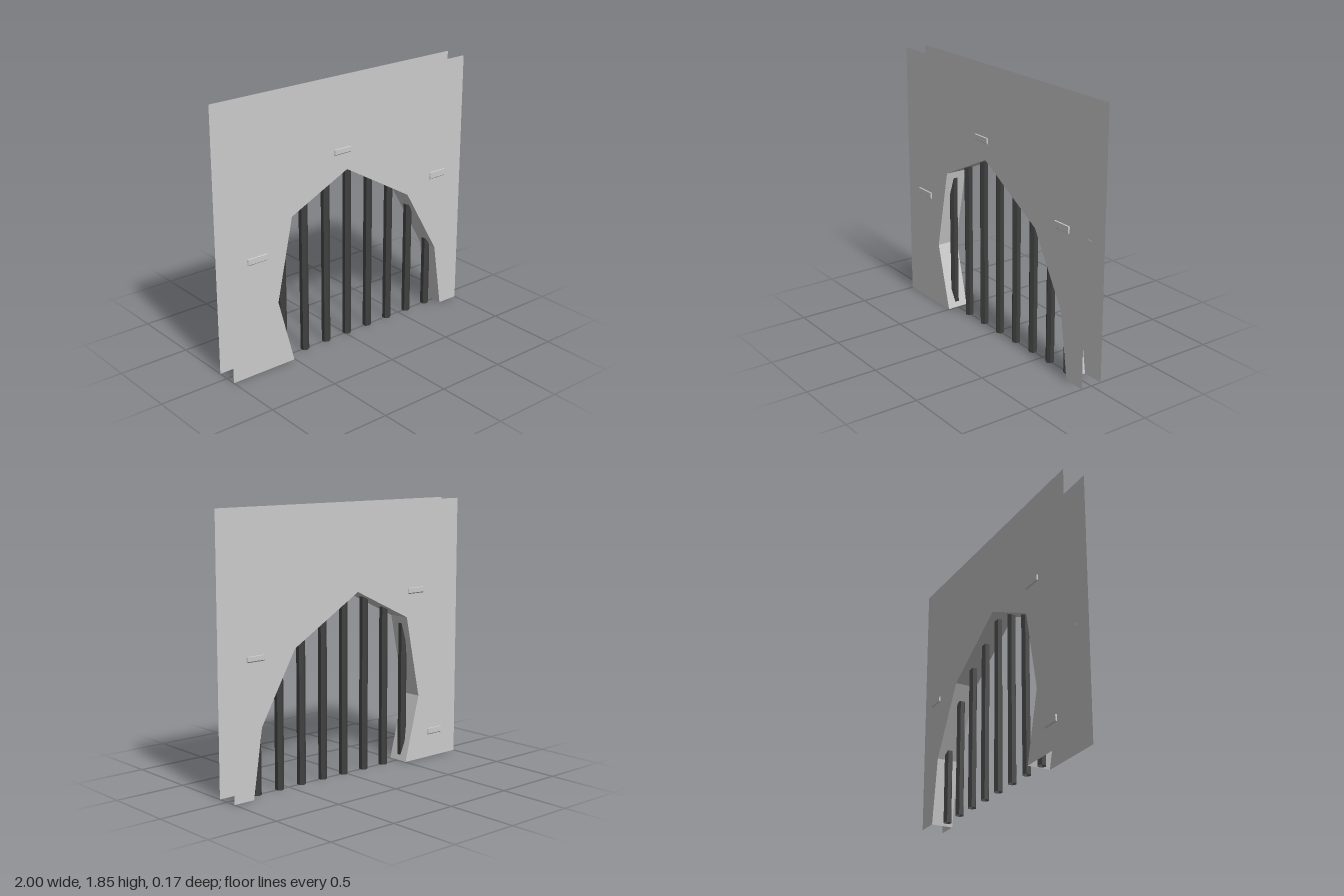
import * as THREE from 'three';

const HALF = 0.078; // half the wall thickness
// Rough arch opening, from its right foot over the crown to its left foot
const ARCH = [[-0.505, 0], [-0.627, 0.465], [-0.505, 1.04], [-0.045, 1.258],
  [0.5, 0.94], [0.775, 0.465], [0.845, 0]];

export function createModel() {
  const model = new THREE.Group();
  const stone = new THREE.MeshStandardMaterial({ color: 0xcccccc, flatShading: true, side: THREE.DoubleSide });
  const iron = new THREE.MeshStandardMaterial({ color: 0x404040, flatShading: true, side: THREE.DoubleSide });

  const add = (name, geometry, material, x = 0, y = 0, z = 0) => {
    const mesh = new THREE.Mesh(geometry, material);
    mesh.name = name;
    mesh.position.set(x, y, z);
    model.add(mesh);
    return mesh;
  };

  // Front and back wall sheets with the arch cut out of the lower edge
  const outline = [[-1, 0], ...ARCH, [1, 0], [1, 1.85], [-1, 1.85]];
  const sheet = new THREE.ShapeGeometry(new THREE.Shape(outline.map(([x, y]) => new THREE.Vector2(x, y))));
  add('frontWall', sheet, stone, 0, 0, HALF);
  add('backWall', sheet.clone().rotateY(Math.PI).scale(-1, 1, 1), stone, 0, 0, -HALF);
  const back = model.getObjectByName('backWall').geometry;
  // Restore the winding after mirroring so the back sheet faces -z
  const index = back.index.array;
  for (let i = 0; i < index.length; i += 3) [index[i], index[i + 1]] = [index[i + 1], index[i]];
  back.computeVertexNormals();

  // Inner faces of the arch joining the two sheets
  const reveal = [];
  for (let i = 0; i < ARCH.length - 1; i++) {
    const [ax, ay] = ARCH[i], [bx, by] = ARCH[i + 1];
    reveal.push(ax, ay, HALF, ax, ay, -HALF, bx, by, -HALF);
    reveal.push(ax, ay, HALF, bx, by, -HALF, bx, by, HALF);
  }
  const revealGeometry = new THREE.BufferGeometry();
  revealGeometry.setAttribute('position', new THREE.Float32BufferAttribute(reveal, 3));
  revealGeometry.computeVertexNormals();
  add('archReveal', revealGeometry, stone);

  // Gate of open six-sided bars, each ending just inside the arch
  const barTops = [0.99, 1.13, 1.22, 1.24, 1.135, 1.03, 0.835, 0.525];
  barTops.forEach((top, i) => {
    const bar = new THREE.CylinderGeometry(0.03, 0.03, top, 6, 1, true);
    add('gateBar', bar, iron, -0.541 + i * 0.186, top / 2, 0);
  });

  // Shallow raised bricks with bevelled sides: x, y, width, height, face direction
  const bricks = [
    [-0.785, 0.817, 0.16, 0.05, 1], [-0.085, 1.393, 0.145, 0.045, 1], [0.775, 1.03, 0.145, 0.055, 1],
    [-0.79, 0.186, 0.14, 0.05, -1], [-0.588, 1.222, 0.155, 0.045, -1], [0.82, 0.912, 0.14, 0.042, -1],
  ];
  for (const [x, y, w, h, dir] of bricks) {
    const geometry = new THREE.BoxGeometry(w, h, 0.012);
    const p = geometry.attributes.position;
    for (let i = 0; i < p.count; i++) {
      if (p.getZ(i) < 0) continue;
      p.setX(i, p.getX(i) - Math.sign(p.getX(i)) * 0.006);
      p.setY(i, p.getY(i) + (p.getY(i) < 0 ? 0.01 : -0.002));
    }
    geometry.computeVertexNormals();
    const brick = add('raisedBrick', geometry, stone, x, y, dir * (HALF + 0.003));
    if (dir < 0) brick.rotation.y = Math.PI;
  }

  return model;
}
